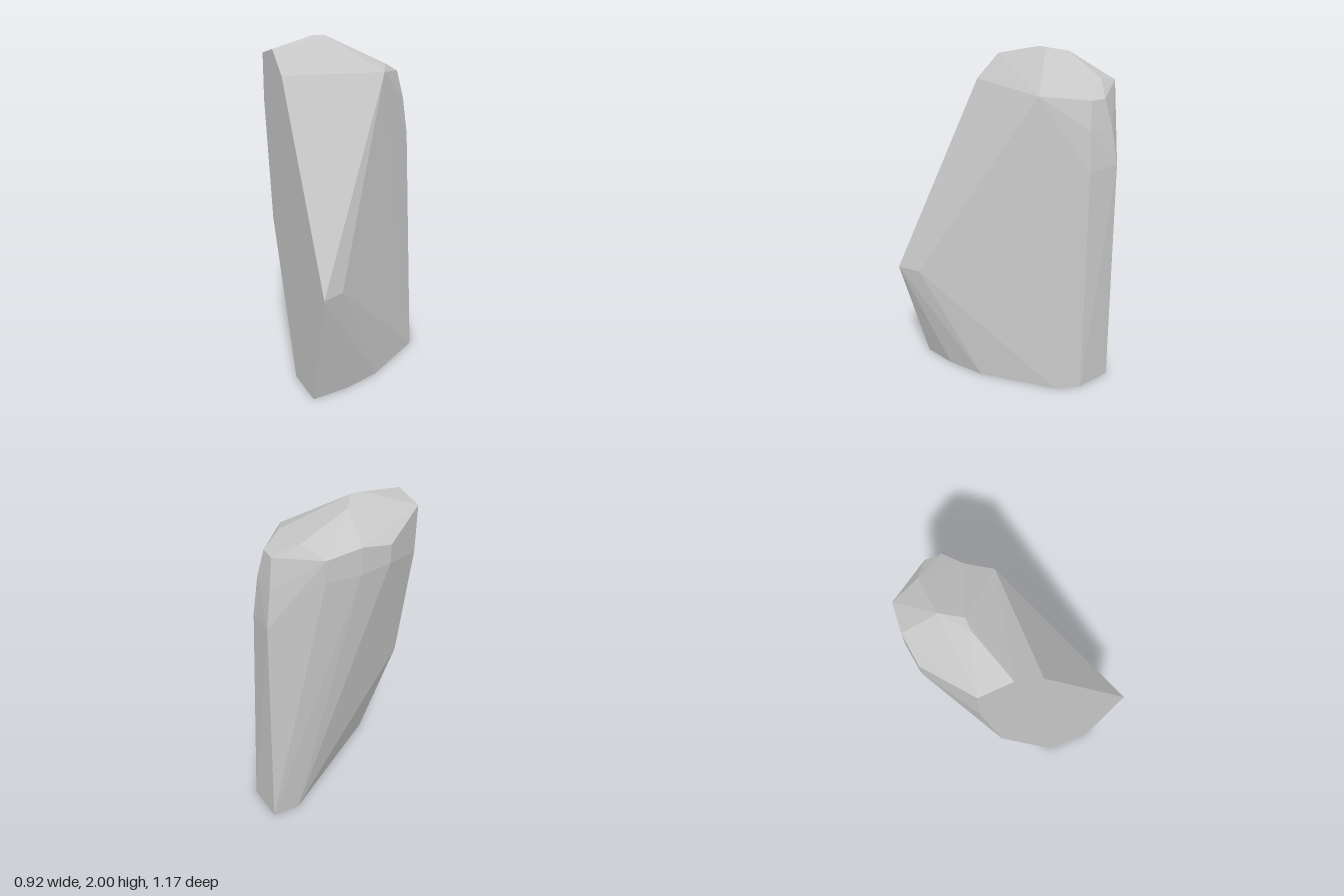
import * as THREE from 'three';
import { ConvexGeometry } from 'three/addons/geometries/ConvexGeometry.js';

export function createModel() {
  const group = new THREE.Group();
  group.name = 'rock';

  const stone = new THREE.MeshStandardMaterial({ color: 0xc7c7c7 });
  stone.name = 'stone grey';

  const cut = -0.46; // flat sheared side

  // Corners of the boulder, grouped by region, as [x, y, z]
  const base = [[cut, 0.4], [-0.24, 0.36], [-0.01, 0.27], [0.383, -0.02],
    [0.457, -0.16], [0.435, -0.392], [0.27, -0.392], [cut, 0.105]].map(([x, z]) => [x, 0, z]);
  const frontBulge = [[cut, 0.67, 0.585], [-0.325, 0.67, 0.515]];
  const cutEdge = [[cut, 1.79, -0.023], [cut, 1.93, -0.18], [cut, 1.9, -0.367],
    [cut, 1.625, -0.367], [cut, 0.905, -0.257]];
  const sideStrip = [[0.375, 1.775, -0.24], [0.375, 1.775, -0.335], [0.405, 1.61, -0.212],
    [0.405, 1.61, -0.37], [0.43, 1.38, -0.2], [0.435, 1.4, -0.393]];
  const backRim = [[-0.18, 1.825, -0.563], [0, 1.86, -0.585], [0.19, 1.825, -0.57],
    [-0.18, 1.72, -0.563], [0, 1.705, -0.585], [0.19, 1.7, -0.57]];
  const crown = [[-0.17, 2, -0.28], [-0.1, 2, -0.28], [-0.02, 1.98, -0.39],
    [0.25, 1.855, -0.41], [0.25, 1.83, -0.16], [0.18, 1.79, -0.02]];

  // Faceted hull around all corners
  const corners = [...base, ...frontBulge, ...cutEdge, ...sideStrip, ...backRim, ...crown];
  const boulder = new THREE.Mesh(
    new ConvexGeometry(corners.map((p) => new THREE.Vector3(...p))), stone);
  boulder.name = 'boulder';
  group.add(boulder);
  return group;
}
